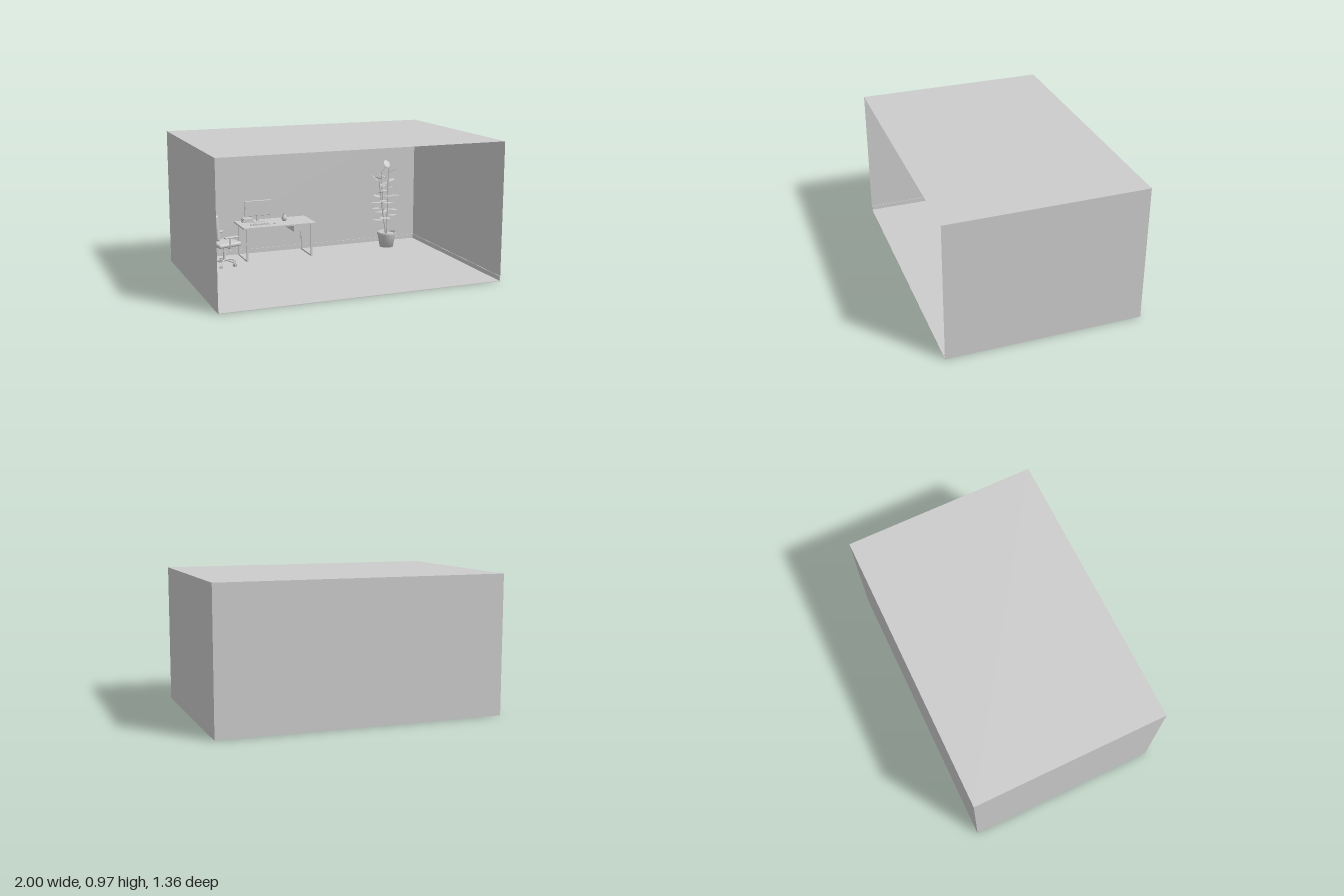
import * as THREE from 'three';
import { RoundedBoxGeometry } from 'three/addons/geometries/RoundedBoxGeometry.js';

const grey = new THREE.MeshStandardMaterial({ color: 0xcccccc, side: THREE.DoubleSide });
grey.name = 'lightGrey';

function add(parent, name, geometry, x = 0, y = 0, z = 0) {
  const mesh = new THREE.Mesh(geometry, grey);
  mesh.name = name;
  mesh.position.set(x, y, z);
  parent.add(mesh);
  return mesh;
}
const box = (w, h, d) => new THREE.BoxGeometry(w, h, d);
const soft = (w, h, d, r) => new RoundedBoxGeometry(w, h, d, 3, r);
const cyl = (top, bottom, h, n = 20) => new THREE.CylinderGeometry(top, bottom, h, n);
const lathe = (points, n = 32) => new THREE.LatheGeometry(points.map(p => new THREE.Vector2(...p)), n);
const vec = (x, y, z) => new THREE.Vector3(x, y, z);
const tube = (points, r, n = 16) =>
  new THREE.TubeGeometry(new THREE.CatmullRomCurve3(points.map(p => vec(...p))), n, r, 8);

function group(parent, name, x = 0, y = 0, z = 0) {
  const g = new THREE.Group();
  g.name = name;
  g.position.set(x, y, z);
  parent.add(g);
  return g;
}

// Room shell, open at the front
function buildRoom(root) {
  const W = 2, H = 0.973, D = 1.36;
  const room = group(root, 'room');
  add(room, 'floor', box(W, 0.004, D), 0, 0.002, 0);
  add(room, 'ceiling', new THREE.PlaneGeometry(W, D), 0, H, 0).rotation.x = Math.PI / 2;
  add(room, 'backWall', new THREE.PlaneGeometry(W, H), 0, H / 2, -D / 2);
  add(room, 'backSkirting', box(W, 0.033, 0.005), 0, 0.02, -D / 2 + 0.003);
  for (const s of [-1, 1]) {
    add(room, 'sideWall', new THREE.PlaneGeometry(D, H), s * W / 2, H / 2, 0).rotation.y = -s * Math.PI / 2;
    add(room, 'sideSkirting', box(0.005, 0.033, D - 0.002), s * (W / 2 - 0.003), 0.02, 0);
  }
}

// Desk with two closed leg frames, a rail and a drawer
function buildDesk(root) {
  const desk = group(root, 'desk', -0.23, 0, -0.538);
  add(desk, 'deskTop', box(0.566, 0.011, 0.266), 0, 0.26, 0);
  for (const s of [-1, 1]) {
    const x = s * 0.252;
    for (const z of [-0.108, 0.108]) add(desk, 'deskLeg', box(0.012, 0.25, 0.012), x, 0.13, z);
    for (const y of [0.01, 0.248]) add(desk, 'legFrameBar', box(0.012, 0.012, 0.216), x, y, 0);
  }
  for (const z of [-0.1, 0.06]) add(desk, 'deskRail', box(0.494, 0.016, 0.01), 0, 0.246, z);
  add(desk, 'drawer', box(0.132, 0.053, 0.19), 0.179, 0.228, 0.005);
  add(desk, 'drawerFront', box(0.13, 0.048, 0.004), 0.179, 0.227, 0.102);
}

// Things standing on the desk
function buildDeskItems(root) {
  const items = group(root, 'deskItems', 0, 0.2655, 0);
  const monitor = group(items, 'monitor', -0.345, 0, -0.6);
  add(monitor, 'screenBody', soft(0.208, 0.118, 0.012, 0.003), 0, 0.104, 0);
  add(monitor, 'screen', box(0.2, 0.11, 0.002), 0, 0.104, 0.006);
  add(monitor, 'monitorNeck', box(0.022, 0.07, 0.008), 0, 0.036, -0.009);
  add(monitor, 'monitorFoot', box(0.1, 0.004, 0.06), 0, 0.002, 0);

  const keyboard = group(items, 'keyboard', -0.36, 0, -0.49);
  add(keyboard, 'keyboardBase', box(0.15, 0.005, 0.045), 0, 0.0025, 0);
  for (let r = 0; r < 4; r++)
    for (let c = 0; c < 14; c++)
      add(keyboard, 'key', box(0.008, 0.002, 0.008), -0.066 + c * 0.01015, 0.006, -0.0155 + r * 0.0103);
  add(items, 'mouse', new THREE.SphereGeometry(0.01, 16, 10), -0.25, 0.004, -0.485).scale.set(0.8, 0.6, 1.3);

  [0.003, 0.013, 0.023].forEach((y, i) =>
    add(items, 'book', box(0.082 - i * 0.004, 0.009, 0.06), -0.427, y + 0.003, -0.61 + i * 0.002).rotation.y = i * 0.04);
  add(items, 'vase', lathe([[0, 0], [0.012, 0], [0.019, 0.012], [0.02, 0.025], [0.014, 0.04],
    [0.008, 0.052], [0.01, 0.062], [0.008, 0.061], [0.006, 0.05]]), -0.152, 0, -0.55);
}

// Swivel chair, built facing +x and then turned
function buildChair(root) {
  const chair = group(root, 'officeChair', -0.665, 0.004, -0.405);
  chair.rotation.y = 0.26;
  for (let i = 0; i < 5; i++) {
    const leg = group(chair, 'baseLeg');
    leg.rotation.y = i * Math.PI * 0.4 + 0.15;
    add(leg, 'baseArm', tube([[0, 0.042, 0], [0.05, 0.037, 0], [0.092, 0.026, 0]], 0.006));
    for (const s of [-1, 1])
      add(leg, 'casterWheel', cyl(0.012, 0.012, 0.007, 16), 0.09, 0.012, s * 0.007).rotation.x = Math.PI / 2;
  }
  add(chair, 'baseHub', cyl(0.012, 0.016, 0.026), 0, 0.04, 0);
  add(chair, 'liftSleeve', cyl(0.01, 0.01, 0.055), 0, 0.075, 0);
  add(chair, 'liftPiston', cyl(0.006, 0.006, 0.06), 0, 0.122, 0);
  add(chair, 'seatMechanism', box(0.075, 0.014, 0.055), 0, 0.144, 0);
  add(chair, 'seat', soft(0.185, 0.03, 0.178, 0.013), 0.005, 0.166, 0);

  // Tilted back and the bracket that carries it
  add(chair, 'backBracket', tube([[-0.03, 0.146, 0], [-0.09, 0.15, 0], [-0.1, 0.19, 0], [-0.103, 0.25, 0]], 0.007));
  add(chair, 'backrest', soft(0.03, 0.19, 0.165, 0.013), -0.093, 0.302, 0).rotation.z = 0.08;
  for (const s of [-1, 1]) {
    const z = s * 0.105;
    add(chair, 'armSupport', tube([[-0.01, 0.15, s * 0.05], [-0.01, 0.152, s * 0.098],
      [-0.008, 0.19, z], [-0.008, 0.228, z]], 0.006));
    add(chair, 'armrest', soft(0.11, 0.011, 0.03, 0.005), 0, 0.23, z);
  }
}

// Pointed oval leaf along +x, gently arched
function leafGeometry(length, width) {
  const shape = new THREE.Shape();
  shape.moveTo(0.014, 0);
  shape.bezierCurveTo(length * 0.3, width * 0.75, length * 0.8, width * 0.65, length, 0);
  shape.bezierCurveTo(length * 0.8, -width * 0.65, length * 0.3, -width * 0.75, 0.014, 0);
  const g = new THREE.ShapeGeometry(shape, 10);
  g.rotateX(-Math.PI / 2);
  const p = g.attributes.position;
  for (let i = 0; i < p.count; i++) p.setY(i, 1.5 * p.getZ(i) ** 2 - 0.8 * p.getX(i) ** 2);
  g.computeVertexNormals();
  return g;
}

// Potted plant with three stems
function buildPlant(root) {
  const plant = group(root, 'pottedPlant', 0.679, 0.004, -0.5);
  add(plant, 'pot', lathe([[0, 0], [0.053, 0], [0.07, 0.1], [0.075, 0.1], [0.075, 0.118], [0.068, 0.118], [0.066, 0.1]]));
  add(plant, 'soil', cyl(0.067, 0.067, 0.004, 32), 0, 0.1, 0);

  const stems = [
    { top: [0.008, 0.62, 0.01], leaves: 12, turn: 0.3 },
    { top: [-0.075, 0.52, 0.02], leaves: 9, turn: 2.4 },
    { top: [-0.03, 0.59, -0.04], leaves: 7, turn: 4.1 },
  ];
  stems.forEach(({ top, leaves, turn }) => {
    const [x, y, z] = top;
    const curve = new THREE.CatmullRomCurve3([vec(x * 0.1, 0.1, z * 0.3), vec(x * 0.55, y * 0.55, z * 0.8), vec(x, y, z)]);
    add(plant, 'stem', new THREE.TubeGeometry(curve, 20, 0.005, 8));
    for (let i = 0; i < leaves; i++) {
      const t = i / (leaves - 1);
      const p = curve.getPoint(0.3 + 0.7 * t);
      const leaf = group(plant, 'leaf', p.x, p.y, p.z);
      leaf.rotation.set(0, turn + i * 2.4, 0.08 + 0.75 * t ** 4, 'YZX');
      add(leaf, 'leafBlade', leafGeometry(0.1 - 0.012 * t, 0.045));
      const stalk = add(leaf, 'leafStalk', cyl(0.0015, 0.0015, 0.016, 6), 0.008, 0, 0);
      stalk.rotation.z = Math.PI / 2;
    }
  });
}

export function createModel() {
  const root = new THREE.Group();
  root.name = 'officeRoom';
  buildRoom(root);
  buildDesk(root);
  buildDeskItems(root);
  buildChair(root);
  buildPlant(root);
  return root;
}
